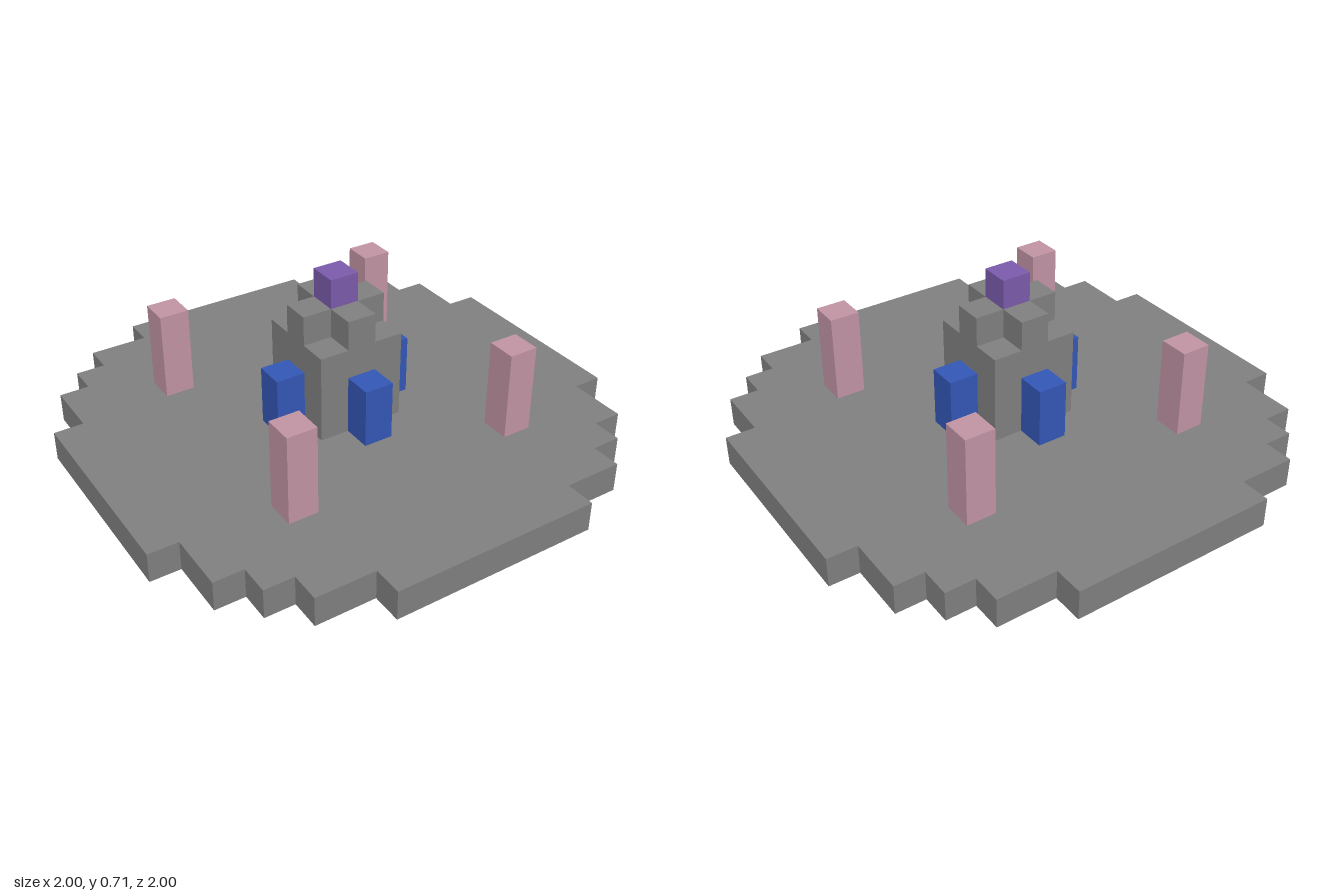
import * as THREE from 'three';

const U = 2 / 17; // one block

const mat = (name, color) => {
  const m = new THREE.MeshStandardMaterial({ color });
  m.name = name;
  return m;
};

export function createModel() {
  const stone = mat('stone grey', 0x808080);
  const blue = mat('blue', 0x3457b6);
  const pink = mat('dusty pink', 0xc294a5);
  const purple = mat('purple', 0x7b5bac);
  const group = new THREE.Group();

  const add = (name, geometry, material, x, y, z) => {
    const mesh = new THREE.Mesh(geometry, material);
    mesh.name = name;
    mesh.position.set(x * U, y * U, z * U);
    group.add(mesh);
  };

  // Upright block column, standing on level y (sizes in blocks)
  const column = (name, material, x, y, z, width, height) =>
    add(name, new THREE.BoxGeometry(width * U, height * U, width * U), material, x, y + height / 2, z);

  // One-block-thick slab from the stepped corners of one quadrant, turned four times
  const slab = (name, corners, y) => {
    const points = [];
    for (let q = 0; q < 4; q++) {
      const c = Math.round(Math.cos(q * Math.PI / 2));
      const s = Math.round(Math.sin(q * Math.PI / 2));
      for (const [a, b] of corners) points.push(new THREE.Vector2((a * c - b * s) * U, (a * s + b * c) * U));
    }
    const geometry = new THREE.ExtrudeGeometry(new THREE.Shape(points), { depth: U, bevelEnabled: false });
    add(name, geometry.rotateX(-Math.PI / 2), stone, 0, y, 0);
  };

  // Round stepped platform
  slab('platform', [
    [8.5, 3.5], [7.5, 3.5], [7.5, 5.5], [6.5, 5.5], [6.5, 6.5],
    [5.5, 6.5], [5.5, 7.5], [3.5, 7.5], [3.5, 8.5],
  ], 0);

  // Central tower with a cross-shaped top and a finial
  column('tower', stone, 0, 1, 0, 3, 3);
  slab('towerCross', [[1.5, 0.5], [0.5, 0.5], [0.5, 1.5]], 4);
  column('finial', purple, 0, 5, 0, 1, 1);

  // Buttresses against each side of the tower
  for (const [x, z] of [[2, 0], [-2, 0], [0, 2], [0, -2]]) column('buttress', blue, x, 1, z, 1, 2);

  // Free-standing pillars
  for (const x of [-4, 4]) for (const z of [-4, 4]) column('pillar', pink, x, 1, z, 1, 3);

  return group;
}
